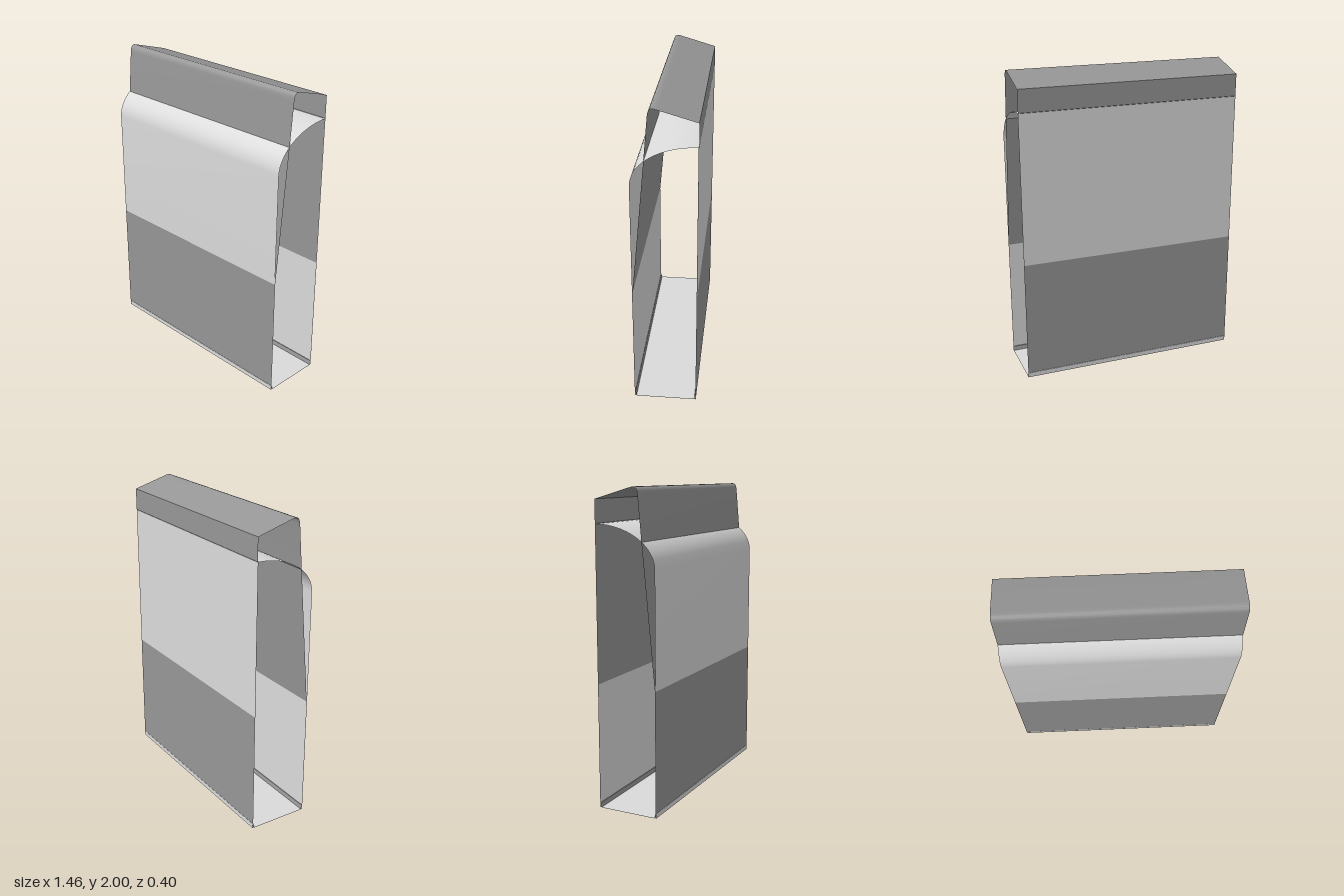
import * as THREE from 'three';
import { toCreasedNormals } from 'three/addons/utils/BufferGeometryUtils.js';

const HALF_WIDTH = 0.73;
const lightPaper = new THREE.MeshStandardMaterial({ color: 0xdadada, side: THREE.DoubleSide });
lightPaper.name = 'light grey';
const darkPaper = new THREE.MeshStandardMaterial({ color: 0x969696, side: THREE.DoubleSide });
darkPaper.name = 'dark grey';

// Sweeps a [z, y] side profile across the full width as an open sheet.
function sheet(name, profile, material) {
  const positions = [], index = [];
  profile.forEach(([z, y], i) => {
    positions.push(-HALF_WIDTH, y, z, HALF_WIDTH, y, z);
    if (i > 0) {
      const a = 2 * (i - 1);
      index.push(a, a + 1, a + 3, a, a + 3, a + 2);
    }
  });
  const geometry = new THREE.BufferGeometry();
  geometry.setAttribute('position', new THREE.Float32BufferAttribute(positions, 3));
  geometry.setIndex(index);
  const mesh = new THREE.Mesh(toCreasedNormals(geometry, 0.6), material);
  mesh.name = name;
  return mesh;
}

export function createModel() {
  const model = new THREE.Group();
  model.name = 'openEndedSleeve';

  // Light upper cover: front wall, curved shoulder, back wall
  const cover = [[0.2, 0.8]];
  for (let i = 0; i <= 20; i++) {
    const a = (i / 20) * Math.PI / 2;
    cover.push([-0.2 + 0.4 * Math.cos(a), 1.525 + 0.255 * Math.sin(a)]);
  }
  cover.push([-0.2, 0.8]);
  model.add(sheet('upperCover', cover, lightPaper));

  // Dark inner sheet: back lining, sloping lid with rounded front edge, leaning front
  const inner = [
    [0.197, 0.8], [0.115, 1.677], [0.09, 1.955], [0.087, 1.975], [0.08, 1.99],
    [0.07, 1.998], [0.058, 2], [0.035, 1.994], [-0.2, 1.926], [-0.2, 1.782],
    [-0.197, 1.778], [-0.197, 0.8],
  ];
  model.add(sheet('innerFlap', inner, darkPaper));

  // Light lower lining, coming outside as a narrow strip at the foot
  const lining = [
    [-0.197, 0.8], [-0.197, 0.033], [-0.2, 0.031], [-0.2, 0], [-0.197, 0.003],
    [0.197, 0.003], [0.2, 0], [0.2, 0.031], [0.197, 0.033], [0.197, 0.8],
  ];
  model.add(sheet('lowerLining', lining, lightPaper));

  // Dark lower cover, tucked inside above the foot strip and passing under the floor
  const lower = [
    [-0.2, 0.8], [-0.2, 0.033], [-0.195, 0.031], [-0.19, 0.006], [-0.188, 0],
    [0.188, 0], [0.19, 0.006], [0.195, 0.031], [0.2, 0.033], [0.2, 0.8],
  ];
  model.add(sheet('lowerCover', lower, darkPaper));

  return model;
}
